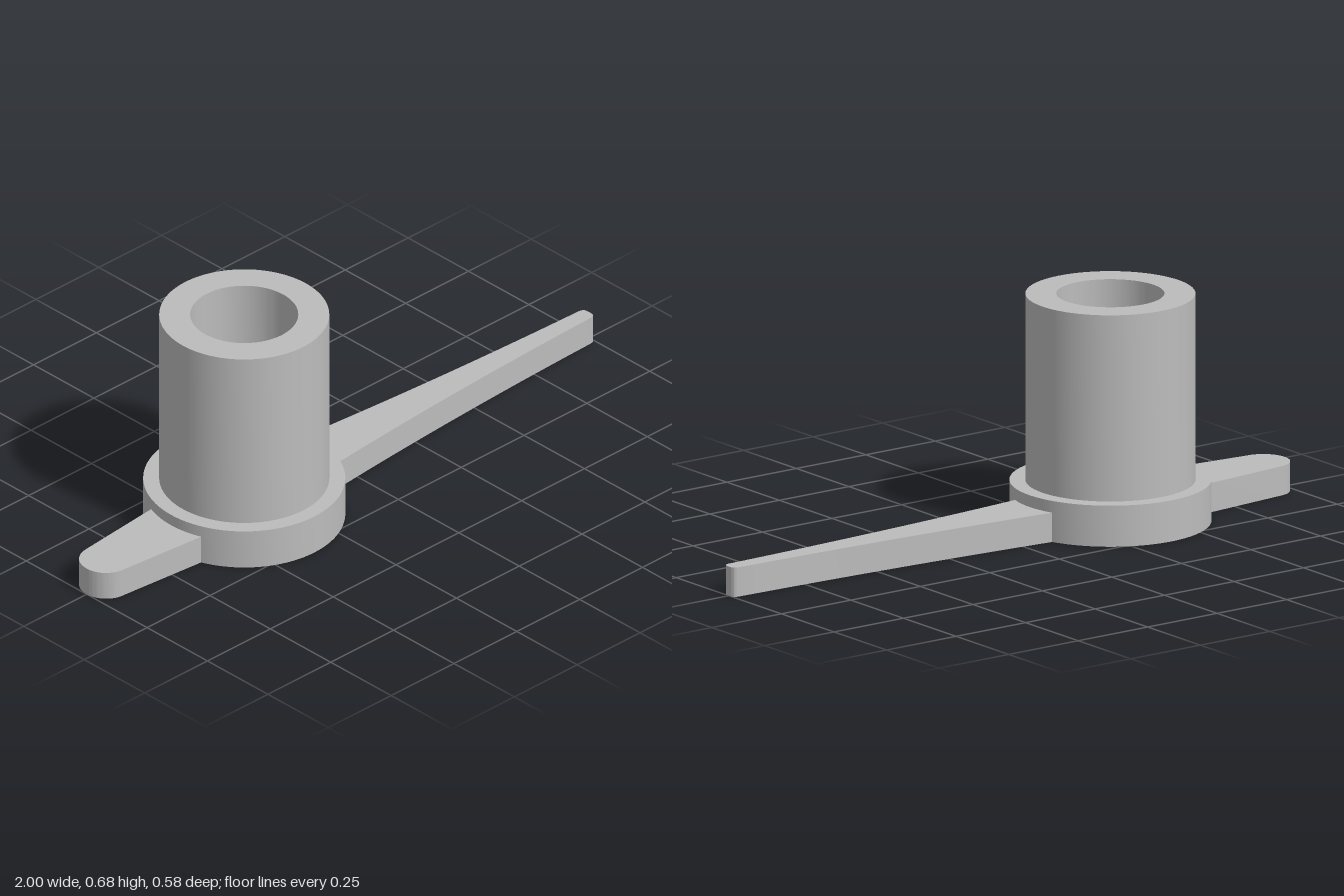
import * as THREE from 'three';
import { toCreasedNormals } from 'three/addons/utils/BufferGeometryUtils.js';

const HUB_X = -0.373;
const ARM_HEIGHT = 0.087;

export function createModel() {
  const model = new THREE.Group();
  const grey = new THREE.MeshStandardMaterial({ color: 0xbcbcbc });
  grey.name = 'plain grey';

  const add = (name, geometry) => {
    const mesh = new THREE.Mesh(toCreasedNormals(geometry, 0.5), grey);
    mesh.name = name;
    model.add(mesh);
    return mesh;
  };

  // Flat arm: outline drawn in plan, raised to the arm height
  const addArm = (name, shape) => {
    const geometry = new THREE.ExtrudeGeometry(shape, {
      depth: ARM_HEIGHT, bevelEnabled: false, curveSegments: 20,
    });
    add(name, geometry.rotateX(-Math.PI / 2));
  };

  // Flanged hub: upper well, narrow through hole and lower recess
  const profile = [
    [0.15, 0], [0.29, 0], [0.29, 0.122], [0.244, 0.122], [0.244, 0.675],
    [0.155, 0.675], [0.155, 0.122], [0.081, 0.122], [0.081, 0.065],
    [0.15, 0.065], [0.15, 0],
  ].map(([r, y]) => new THREE.Vector2(r, y));
  add('hub', new THREE.LatheGeometry(profile, 96)).position.x = HUB_X;

  // Long arm: gently concave taper with a small rounded tip
  const long = new THREE.Shape();
  long.moveTo(-0.17, -0.094);
  long.lineTo(-0.095, -0.088);
  long.quadraticCurveTo(0.42, -0.039, 0.98, -0.025);
  long.quadraticCurveTo(1, -0.024, 1, -0.008);
  long.lineTo(1, 0.008);
  long.quadraticCurveTo(1, 0.024, 0.98, 0.025);
  long.quadraticCurveTo(0.42, 0.039, -0.095, 0.088);
  long.lineTo(-0.17, 0.094);
  long.closePath();
  addArm('longArm', long);

  // Short arm: wide taper with a round end
  const short = new THREE.Shape();
  short.moveTo(-0.575, 0.11);
  short.lineTo(-0.93, 0.077);
  short.absellipse(-0.925, 0, 0.075, 0.077, Math.PI / 2, Math.PI * 1.5, false, 0);
  short.lineTo(-0.575, -0.11);
  short.closePath();
  addArm('shortArm', short);

  return model;
}
